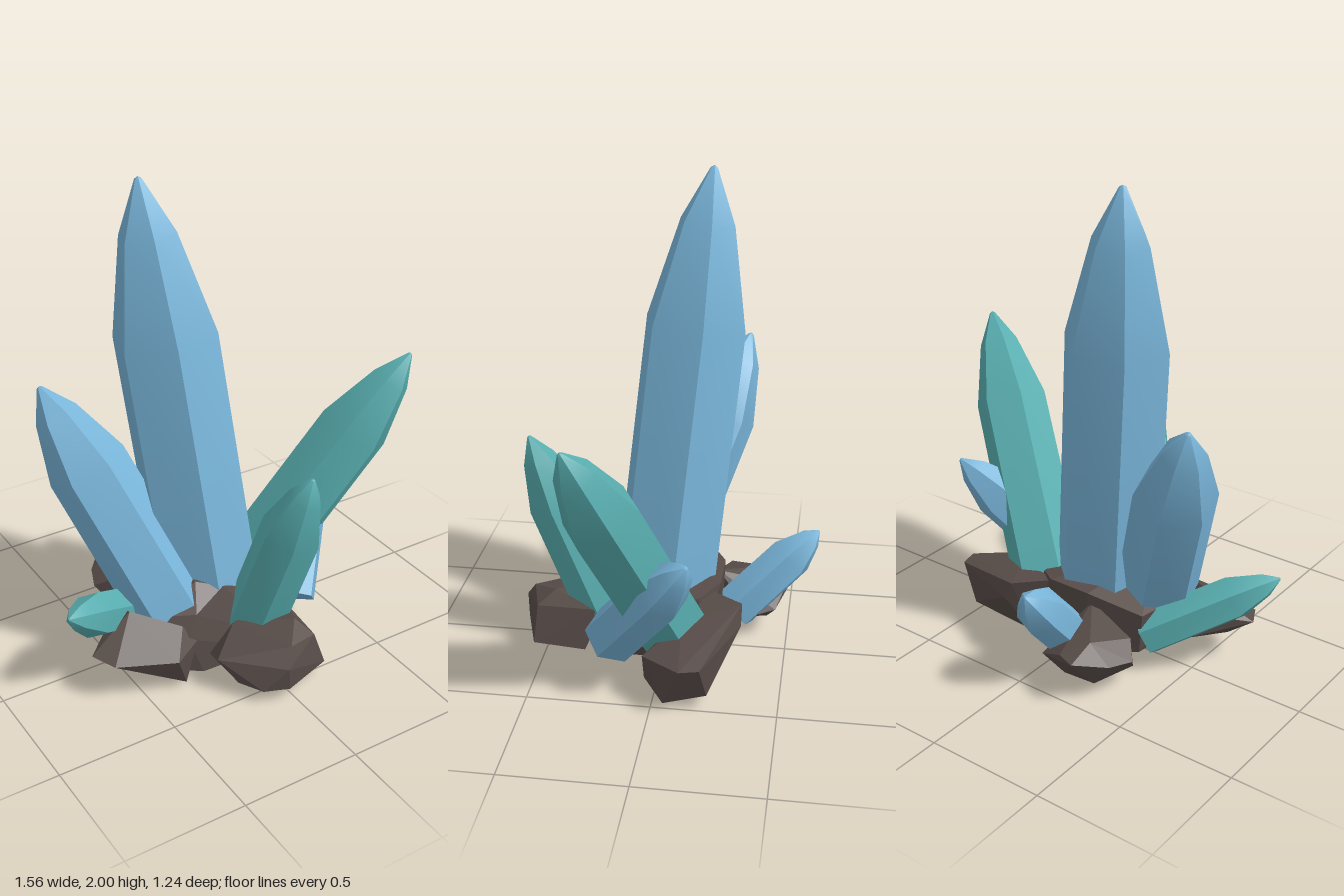
import * as THREE from 'three';
import { ConvexGeometry } from 'three/addons/geometries/ConvexGeometry.js';
import { toCreasedNormals } from 'three/addons/utils/BufferGeometryUtils.js';

const paint = (name, color) => {
  const m = new THREE.MeshStandardMaterial({ color });
  m.name = name;
  return m;
};

// Six-sided crystal growing from base to tip: long shaft, two-step point,
// sharp along its ridges and soft where the shaft bends into the point
function crystal(name, material, base, tip, radius, phaseDeg) {
  const from = new THREE.Vector3(...base);
  const axis = new THREE.Vector3(...tip).sub(from);
  const length = axis.length();
  const profile = [[0, 0], [1.04, 0], [1, 0.67], [0.54, 0.885], [0.07, 0.995], [0, 1]]
    .map(([r, t]) => new THREE.Vector2(r * radius, t * length));
  const lathe = new THREE.LatheGeometry(profile, 6, THREE.MathUtils.degToRad(phaseDeg));
  const mesh = new THREE.Mesh(toCreasedNormals(lathe, 0.6), material);
  mesh.name = name;
  mesh.position.copy(from);
  mesh.quaternion.setFromUnitVectors(new THREE.Vector3(0, 1, 0), axis.normalize());
  return mesh;
}

// Angular boulder: hull around a few corners
function rock(name, material, corners) {
  const mesh = new THREE.Mesh(
    new ConvexGeometry(corners.map((c) => new THREE.Vector3(...c))), material);
  mesh.name = name;
  return mesh;
}

export function createModel() {
  const model = new THREE.Group();
  model.name = 'crystalCluster';
  const blue = paint('blueCrystal', 0x78b4d8);
  const teal = paint('tealCrystal', 0x58adaf);
  const stone = paint('brownStone', 0x574c48);

  // Crystals
  model.add(
    crystal('mainCrystal', blue, [-0.035, 0.1, 0.035], [-0.24, 2, -0.15], 0.215, 44),
    crystal('rightBlueCrystal', blue, [-0.24, 0.18, 0.1], [-0.63, 1.19, -0.28], 0.165, 12),
    crystal('leftTealCrystal', teal, [0.2, 0.18, -0.05], [0.77, 1.2, 0.27], 0.153, 0),
    crystal('frontTealCrystal', teal, [0.03, 0.1, 0.23], [0.09, 0.96, 0.55], 0.125, 30),
    crystal('leftSmallBlueCrystal', blue, [0.25, 0.16, 0.195], [0.6, 0.69, -0.155], 0.115, 15),
    crystal('rightSmallTealCrystal', teal, [-0.33, 0.15, -0.09], [-0.78, 0.43, 0.19], 0.094, 0),
    crystal('backSmallBlueCrystal', blue, [-0.08, 0.14, -0.28], [-0.14, 0.5, -0.62], 0.097, 10),
  );

  // Rocks around the foot
  model.add(
    rock('centreRock', stone, [
      [-0.2, 0.38, 0.17], [-0.1, 0.35, 0.22], [-0.41, 0.27, 0.15], [-0.25, 0.29, 0.26],
      [0.15, 0.3, -0.15], [-0.36, 0.27, -0.16], [-0.14, 0.33, -0.23], [0.05, 0.33, -0.23],
      [0.18, 0.25, 0.15], [-0.3, 0.2, 0.28], [-0.33, 0.04, 0.25], [-0.23, 0.01, 0.28],
      [0.1, 0, 0.28], [0.17, 0.02, 0.27], [0.2, 0.1, 0.22], [0.2, 0.05, -0.15],
      [-0.1, 0.03, -0.22], [-0.34, 0.09, -0.15],
    ]),
    rock('frontRock', stone, [
      [-0.245, 0.16, 0.41], [-0.19, 0.07, 0.48], [-0.13, 0.06, 0.57], [-0.04, 0.16, 0.615],
      [-0.03, 0.06, 0.61], [0.19, 0.06, 0.54], [0.14, 0.21, 0.53], [0.09, 0.265, 0.46],
      [0, 0.23, 0.57], [0.2, 0.05, 0.32], [0.16, 0.22, 0.28], [-0.2, 0.09, 0.28],
      [-0.1, 0.22, 0.3],
    ]),
    rock('rightRock', stone, [
      [-0.68, 0.2, 0.17], [-0.63, 0.19, 0.27], [-0.48, 0.31, 0.12], [-0.31, 0.25, 0.25],
      [-0.39, 0.17, 0.355], [-0.26, 0.18, 0.28], [-0.24, 0.08, 0.2], [-0.33, 0.02, 0.31],
      [-0.4, 0.04, 0.16], [-0.58, 0.13, 0.14], [-0.48, 0.25, 0], [-0.5, 0.14, 0.02],
      [-0.4, 0.08, 0.03],
    ]),
    rock('leftRock', stone, [
      [0.07, 0.3, -0.19], [0.18, 0.31, -0.33], [0.22, 0.23, -0.33], [0.56, 0.22, -0.2],
      [0.58, 0.22, -0.12], [0.51, 0.03, -0.05], [0.48, 0.06, -0.22], [0.45, 0.2, 0.04],
      [0.4, 0.07, 0.04], [0.2, 0.05, 0], [0.18, 0.02, -0.2], [0.3, 0.27, -0.1],
    ]),
    rock('backRock', stone, [
      [-0.42, 0.16, -0.31], [-0.38, 0.17, -0.41], [-0.28, 0.2, -0.52], [-0.2, 0.2, -0.49],
      [-0.08, 0.14, -0.45], [-0.05, 0.12, -0.36], [-0.28, 0.24, -0.4], [-0.14, 0.28, -0.2],
      [-0.36, 0.21, -0.24], [-0.3, 0.06, -0.4], [-0.16, 0.06, -0.41], [-0.18, 0.05, -0.18],
      [-0.36, 0.07, -0.22],
    ]),
  );
  return model;
}
